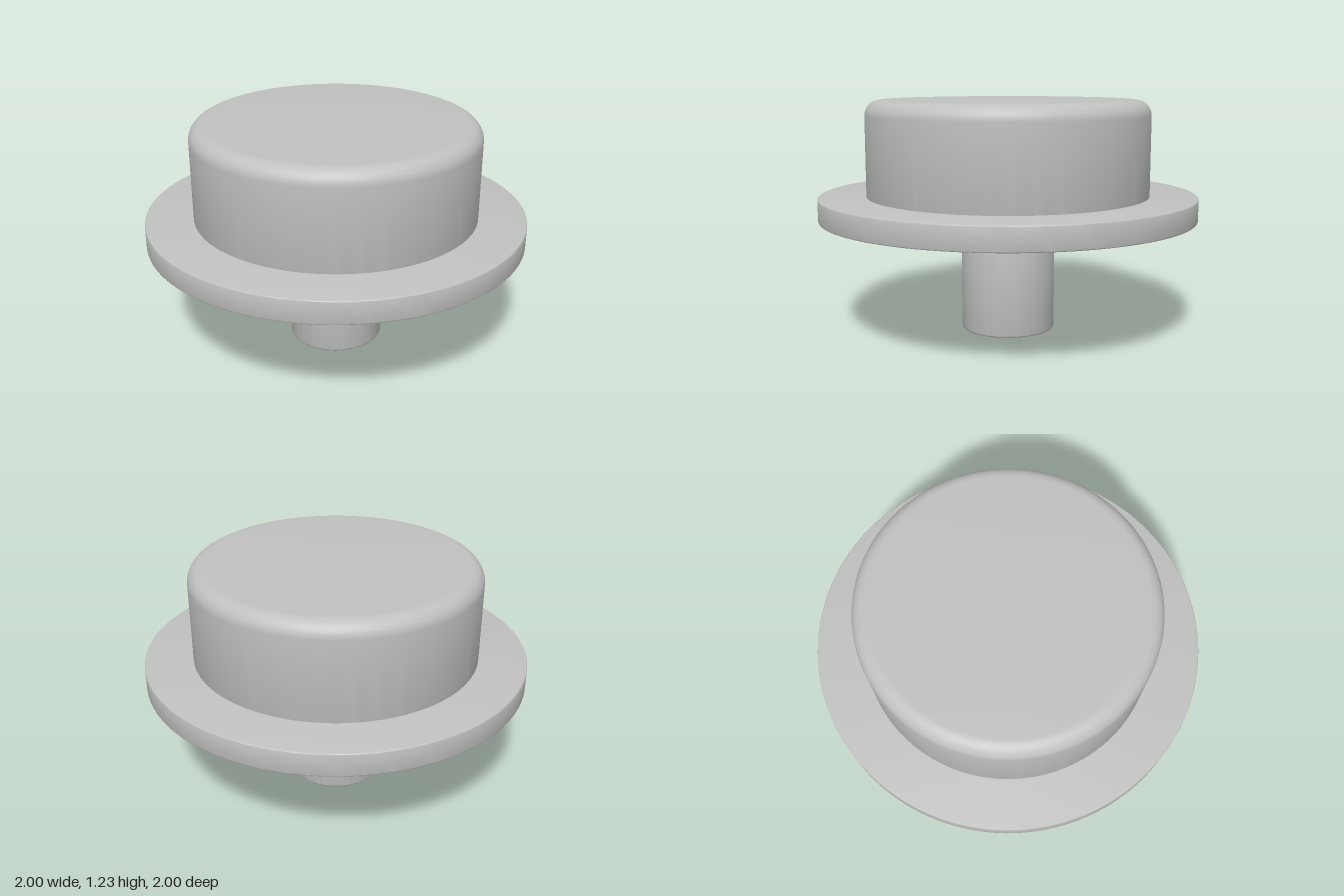
import * as THREE from 'three';
import { toCreasedNormals } from 'three/addons/utils/BufferGeometryUtils.js';

// Solid disc from y0 to y1, with rounded bottom and top rims
function roundedDisc(name, radius, y0, y1, bottomRound, topRound, material) {
  const profile = [new THREE.Vector2(0, y0)];
  const addCorner = (r, cy, startAngle) => {
    const steps = r > 0.03 ? 12 : 3;
    for (let i = 0; i <= steps; i++) {
      const a = startAngle + (i / steps) * Math.PI / 2;
      profile.push(new THREE.Vector2(radius - r + r * Math.cos(a), cy + r * Math.sin(a)));
    }
  };
  addCorner(bottomRound, y0 + bottomRound, -Math.PI / 2);
  addCorner(topRound, y1 - topRound, 0);
  profile.push(new THREE.Vector2(0, y1));
  const geometry = toCreasedNormals(new THREE.LatheGeometry(profile, 128), 0.6);
  const mesh = new THREE.Mesh(geometry, material);
  mesh.name = name;
  return mesh;
}

export function createModel() {
  const group = new THREE.Group();
  group.name = 'flangedButton';
  const grey = new THREE.MeshStandardMaterial({ color: 0xc0c0c0 });
  grey.name = 'plain grey';

  group.add(
    roundedDisc('stem', 0.25, 0, 0.62, 0.01, 0.005, grey),
    roundedDisc('flange', 1.0, 0.61, 0.73, 0.006, 0.006, grey),
    roundedDisc('cap', 0.75, 0.72, 1.23, 0.005, 0.08, grey),
  );
  return group;
}
